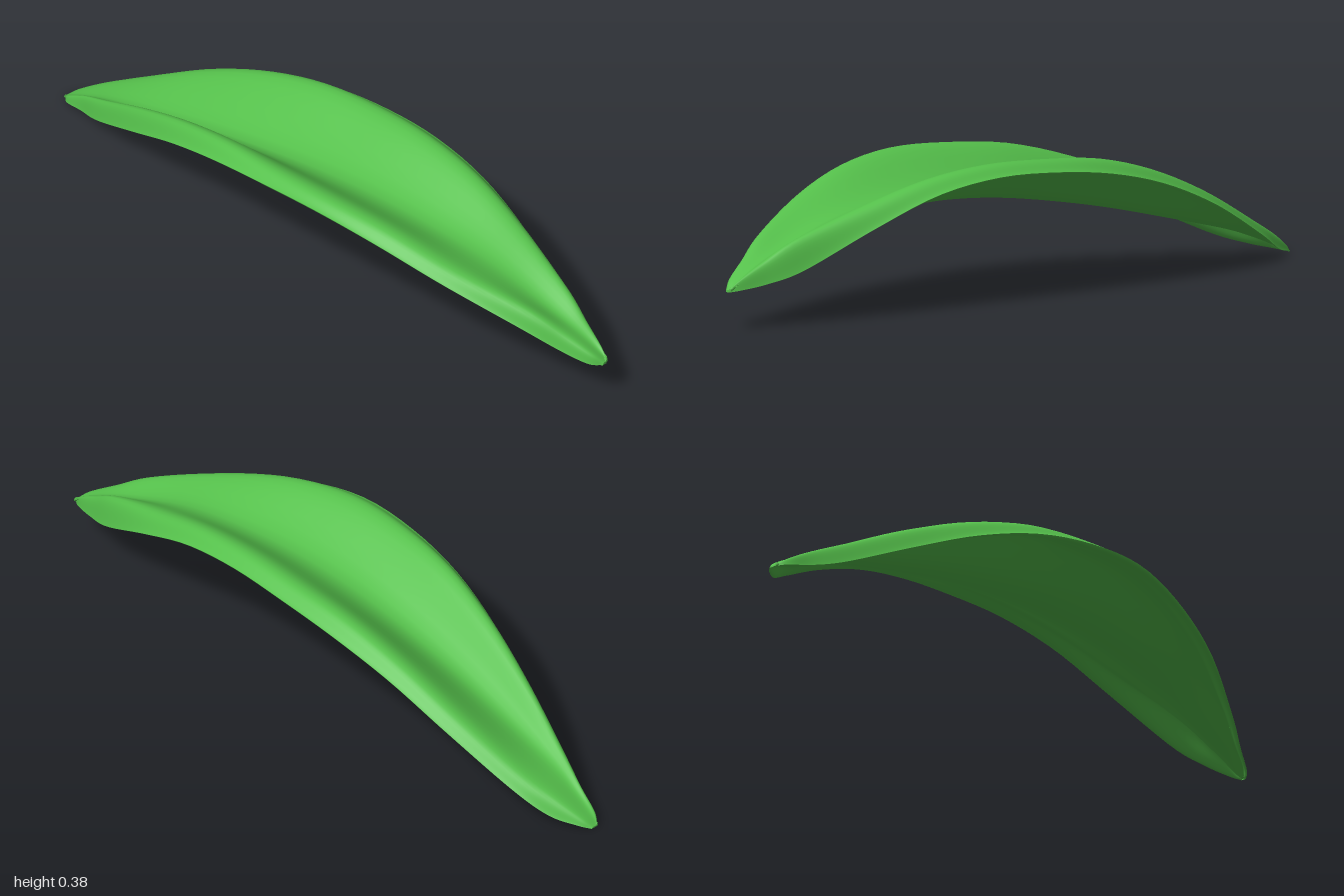
import * as THREE from 'three';

// Leaf stations from back tip to front tip:
// z, left rim x, right rim x, left rim y, right rim y, lobe crest y, midrib y
const STATIONS = [
  [-1.0, 0.045, 0.065, 0.004, 0.004, 0.007, 0.007],
  [-0.97, 0.02, 0.09, 0.012, 0.012, 0.03, 0.028],
  [-0.9, 0.0, 0.13, 0.03, 0.03, 0.07, 0.062],
  [-0.8, -0.04, 0.17, 0.065, 0.085, 0.12, 0.1],
  [-0.6, -0.11, 0.215, 0.16, 0.19, 0.22, 0.155],
  [-0.4, -0.17, 0.235, 0.25, 0.27, 0.3, 0.205],
  [-0.2, -0.217, 0.246, 0.315, 0.32, 0.352, 0.245],
  [0.0, -0.243, 0.245, 0.35, 0.345, 0.372, 0.275],
  [0.2, -0.247, 0.232, 0.36, 0.35, 0.377, 0.288],
  [0.4, -0.22, 0.21, 0.33, 0.32, 0.355, 0.283],
  [0.6, -0.17, 0.175, 0.27, 0.245, 0.3, 0.26],
  [0.8, -0.085, 0.12, 0.185, 0.15, 0.23, 0.2],
  [0.9, -0.035, 0.085, 0.135, 0.12, 0.175, 0.165],
  [0.97, 0.0, 0.06, 0.108, 0.108, 0.135, 0.13],
  [1.0, 0.028, 0.042, 0.103, 0.103, 0.109, 0.109],
];
const LOBE = 0.72; // crest position between midrib and rim
const THICKNESS = 0.028;

const smooth = (points) => new THREE.CatmullRomCurve3(points, false, 'catmullrom', 0.5);

// Five guide curves along the leaf: rim, lobe, midrib, lobe, rim
function guideCurves() {
  const lines = [[], [], [], [], []];
  for (const [z, xl, xr, yl, yr, yLobe, yMid] of STATIONS) {
    const xm = -0.01 + 0.055 * z * z;
    const row = [
      [xl, yl],
      [xm + (xl - xm) * LOBE, yLobe],
      [xm, yMid],
      [xm + (xr - xm) * LOBE, yLobe],
      [xr, yr],
    ];
    row.forEach(([x, y], k) => lines[k].push(new THREE.Vector3(x, y, z)));
  }
  return lines.map(smooth);
}

// Closed cross-section: upper skin left to right, then lower skin back again
function crossSection(guides, t, across) {
  const curve = smooth(guides.map((g) => g.getPoint(t)));
  const top = [], bottom = [];
  const z = curve.getPoint(0.5).z;
  const taper = Math.sqrt(Math.max(0, 1 - z * z)) * 0.9 + 0.1;
  for (let j = 0; j <= across; j++) {
    const u = -Math.cos((Math.PI * j) / across);
    const s = (u + 1) / 2;
    const p = curve.getPoint(s);
    const d = curve.getTangent(s);
    const thick = THICKNESS * taper * Math.sqrt(Math.max(0, 1 - u ** 4));
    top.push(p);
    if (j > 0 && j < across) {
      bottom.unshift(new THREE.Vector3(p.x + d.y * thick, Math.max(0, p.y - d.x * thick), p.z));
    }
  }
  return top.concat(bottom);
}

function leafGeometry(along = 90, across = 36) {
  const guides = guideCurves();
  const ring = across * 2;
  const positions = [], indices = [];
  for (let i = 0; i <= along; i++) {
    // rows bunch towards both tips
    const t = (1 - Math.cos((Math.PI * i) / along)) / 2;
    for (const p of crossSection(guides, t, across)) positions.push(p.x, p.y, p.z);
  }
  for (let i = 0; i < along; i++) {
    for (let j = 0; j < ring; j++) {
      const a = i * ring + j, b = i * ring + ((j + 1) % ring);
      const c = a + ring, d = b + ring;
      indices.push(a, c, b, b, c, d);
    }
  }
  // close the two tips
  const last = along * ring;
  for (let j = 1; j < ring - 1; j++) {
    indices.push(0, j, j + 1, last, last + j + 1, last + j);
  }
  const geometry = new THREE.BufferGeometry();
  geometry.setAttribute('position', new THREE.Float32BufferAttribute(positions, 3));
  geometry.setIndex(indices);
  geometry.computeVertexNormals();
  return geometry;
}

export function createModel() {
  const group = new THREE.Group();
  group.name = 'leaf';
  const blade = new THREE.Mesh(
    leafGeometry(),
    new THREE.MeshStandardMaterial({ color: 0x55c04b })
  );
  blade.name = 'leafBlade';
  group.add(blade);
  return group;
}
